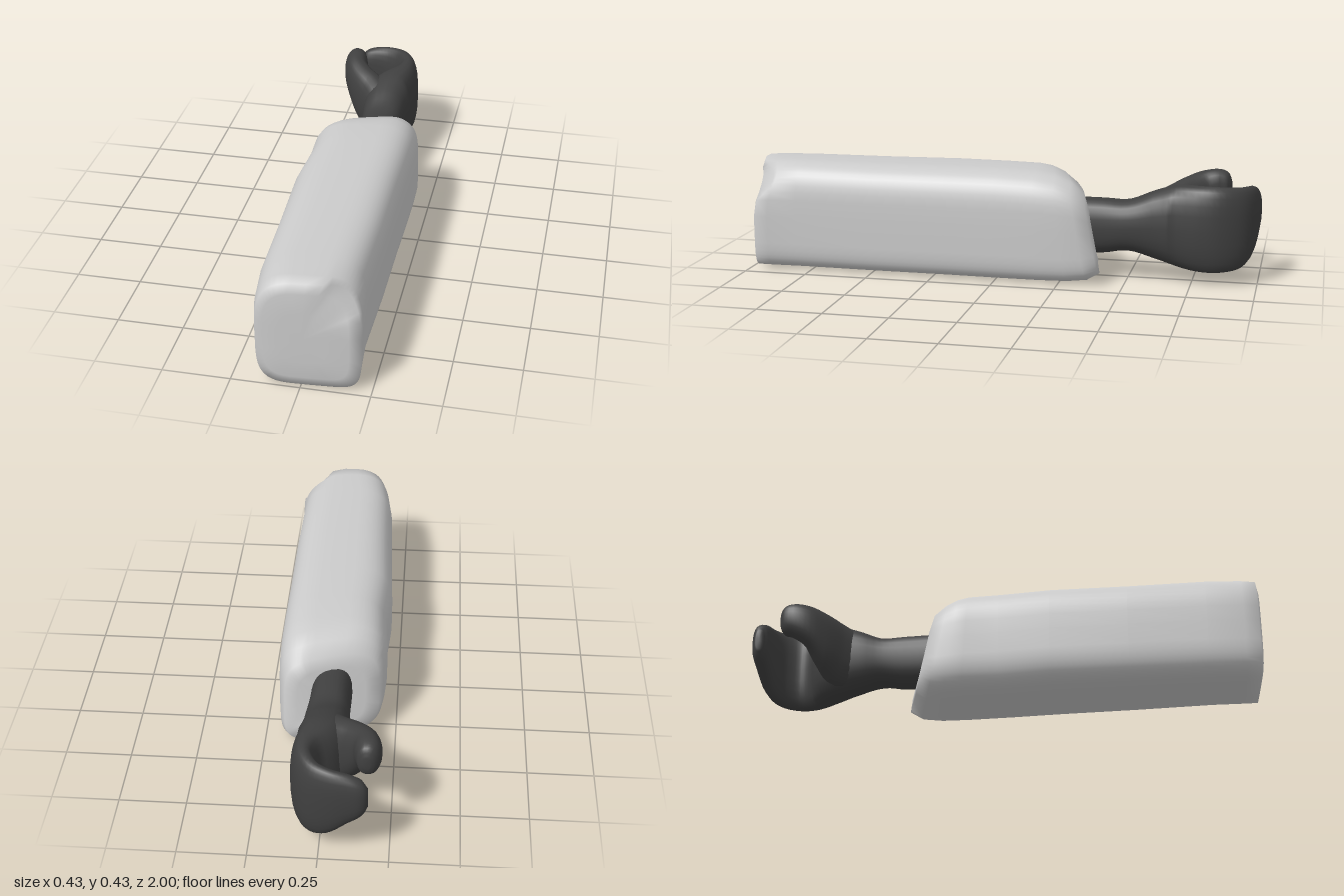
import * as THREE from 'three';

const V = (x, y, z) => new THREE.Vector3(x, y, z);

// Skin a list of equal rings and close both ends
function loft(rings) {
  const n = rings[0].length, pos = [], idx = [];
  const add = (ring) => {
    const start = pos.length / 3;
    ring.forEach((p) => pos.push(p.x, p.y, p.z));
    return start;
  };
  const starts = rings.map(add);
  for (let i = 0; i < rings.length - 1; i++) {
    for (let j = 0; j < n; j++) {
      const k = (j + 1) % n, a = starts[i], b = starts[i + 1];
      idx.push(a + j, b + j, a + k, b + j, b + k, a + k);
    }
  }
  [0, rings.length - 1].forEach((r) => {
    const s = starts[r], mid = V(0, 0, 0);
    rings[r].forEach((p) => mid.addScaledVector(p, 1 / n));
    const c = add([mid]);
    for (let j = 0; j < n; j++) {
      const k = (j + 1) % n;
      if (r === 0) idx.push(c, s + j, s + k);
      else idx.push(c, s + k, s + j);
    }
  });
  const g = new THREE.BufferGeometry();
  g.setAttribute('position', new THREE.Float32BufferAttribute(pos, 3));
  g.setIndex(idx);
  g.computeVertexNormals();
  return g;
}

// Point on a rounded square of half size 1
function squircle(a, power) {
  const f = (v) => Math.sign(v) * Math.pow(Math.abs(v), 2 / power);
  return [f(Math.cos(a)), f(Math.sin(a))];
}

// Boxy sleeve: rows are z, xMin, xMax, yMin, yMax, set-back of the outer upper corner
function sleeveGeometry() {
  const rows = [
    [0.995, -0.07, 0.09, 0.11, 0.31, 0],
    [0.993, -0.13, 0.17, 0.04, 0.39, 0.06],
    [0.984, -0.157, 0.212, 0.004, 0.428, 0.17],
    [0.93, -0.172, 0.207, 0.002, 0.43, 0.08],
    [0.8, -0.19, 0.197, 0, 0.43, 0],
    [0.5, -0.2, 0.203, 0, 0.43, 0],
    [0.2, -0.213, 0.203, 0, 0.432, 0],
    [0, -0.2, 0.205, 0, 0.432, 0],
    [-0.15, -0.207, 0.205, 0, 0.428, 0],
    [-0.23, -0.203, 0.202, 0.002, 0.42, 0],
    [-0.29, -0.196, 0.192, 0.01, 0.4, 0],
    [-0.335, -0.182, 0.172, 0.035, 0.36, 0],
    [-0.34, -0.13, 0.125, 0.08, 0.31, 0],
  ];
  const cornerPower = [3.6, 3.2, 4.2, 6];
  const n = 48;
  return loft(rows.map(([z, x0, x1, y0, y1, setback]) => {
    const ring = [];
    // the cuff end is cut on a slant, the front end slightly so
    const slant = THREE.MathUtils.smoothstep(-z, 0.05, 0.335);
    const front = THREE.MathUtils.smoothstep(z, 0.8, 0.98);
    for (let j = 0; j < n; j++) {
      const [u, v] = squircle((j / n) * Math.PI * 2, cornerPower[Math.floor((4 * j) / n)]);
      const corner = Math.max(0, u + v - 1.25) * setback;
      const x = (x0 + x1) / 2 + (u * (x1 - x0)) / 2 - corner * 0.4;
      const y = (y0 + y1) / 2 + (v * (y1 - y0)) / 2 - corner * 0.4;
      const shift = slant * (0.33 * Math.min(x, 0.11) + 0.2 * (0.2 - y)) + front * 0.06 * x;
      ring.push(V(x, y, z - shift - corner));
    }
    return ring;
  }));
}

// Rounded limb: rows are x, z, half width, yMin, yMax along its path
function limbGeometry(rows, power) {
  const path = new THREE.CatmullRomCurve3(rows.map((r) => V(r[0], 0, r[1])), false, 'catmullrom');
  const size = new THREE.CatmullRomCurve3(rows.map((r) => V(r[2], r[3], r[4])), false, 'catmullrom');
  const steps = (rows.length - 1) * 4, n = 24, rings = [];
  for (let i = 0; i <= steps; i++) {
    const p = path.getPoint(i / steps), t = path.getTangent(i / steps);
    const s = size.getPoint(i / steps), ring = [];
    for (let j = 0; j < n; j++) {
      const [u, v] = squircle((j / n) * Math.PI * 2, power);
      const y = (s.y + s.z) / 2 + (v * (s.z - s.y)) / 2;
      ring.push(V(p.x - t.z * u * s.x, y, p.z + t.x * u * s.x));
    }
    rings.push(ring);
  }
  return loft(rings);
}

export function createModel() {
  const model = new THREE.Group();
  const cloth = new THREE.MeshStandardMaterial({ color: 0xcccccc });
  const dark = new THREE.MeshStandardMaterial({ color: 0x404040 });
  const part = (name, geometry, material, parent) => {
    const mesh = new THREE.Mesh(geometry, material);
    mesh.name = name;
    parent.add(mesh);
  };

  part('sleeve', sleeveGeometry(), cloth, model);

  const hand = new THREE.Group();
  hand.name = 'hand';
  model.add(hand);

  // Wrist, palm and the tall finger curling across the back
  part('wristAndFinger', limbGeometry([
    [-0.005, -0.26, 0.077, 0.09, 0.31],
    [-0.003, -0.4, 0.077, 0.095, 0.31],
    [0, -0.5, 0.083, 0.11, 0.31],
    [-0.002, -0.6, 0.092, 0.085, 0.35],
    [0.008, -0.69, 0.096, 0.062, 0.378],
    [0.05, -0.775, 0.06, 0.05, 0.385],
    [0.058, -0.85, 0.045, 0.05, 0.385],
    [0.024, -0.918, 0.042, 0.06, 0.38],
    [-0.035, -0.953, 0.037, 0.09, 0.375],
    [-0.1, -0.965, 0.036, 0.15, 0.365],
    [-0.148, -0.968, 0.032, 0.19, 0.345],
    [-0.172, -0.965, 0.014, 0.23, 0.31],
  ], 2.5), dark, hand);

  // Short round thumb facing the finger, blending into the palm
  part('thumb', limbGeometry([
    [0.015, -0.55, 0.05, 0.13, 0.31],
    [-0.015, -0.62, 0.07, 0.1, 0.345],
    [-0.062, -0.675, 0.067, 0.095, 0.37],
    [-0.115, -0.72, 0.06, 0.15, 0.388],
    [-0.155, -0.77, 0.052, 0.23, 0.405],
    [-0.167, -0.825, 0.048, 0.27, 0.413],
    [-0.164, -0.864, 0.036, 0.285, 0.402],
    [-0.162, -0.88, 0.014, 0.32, 0.37],
  ], 2.3), dark, hand);

  return model;
}
